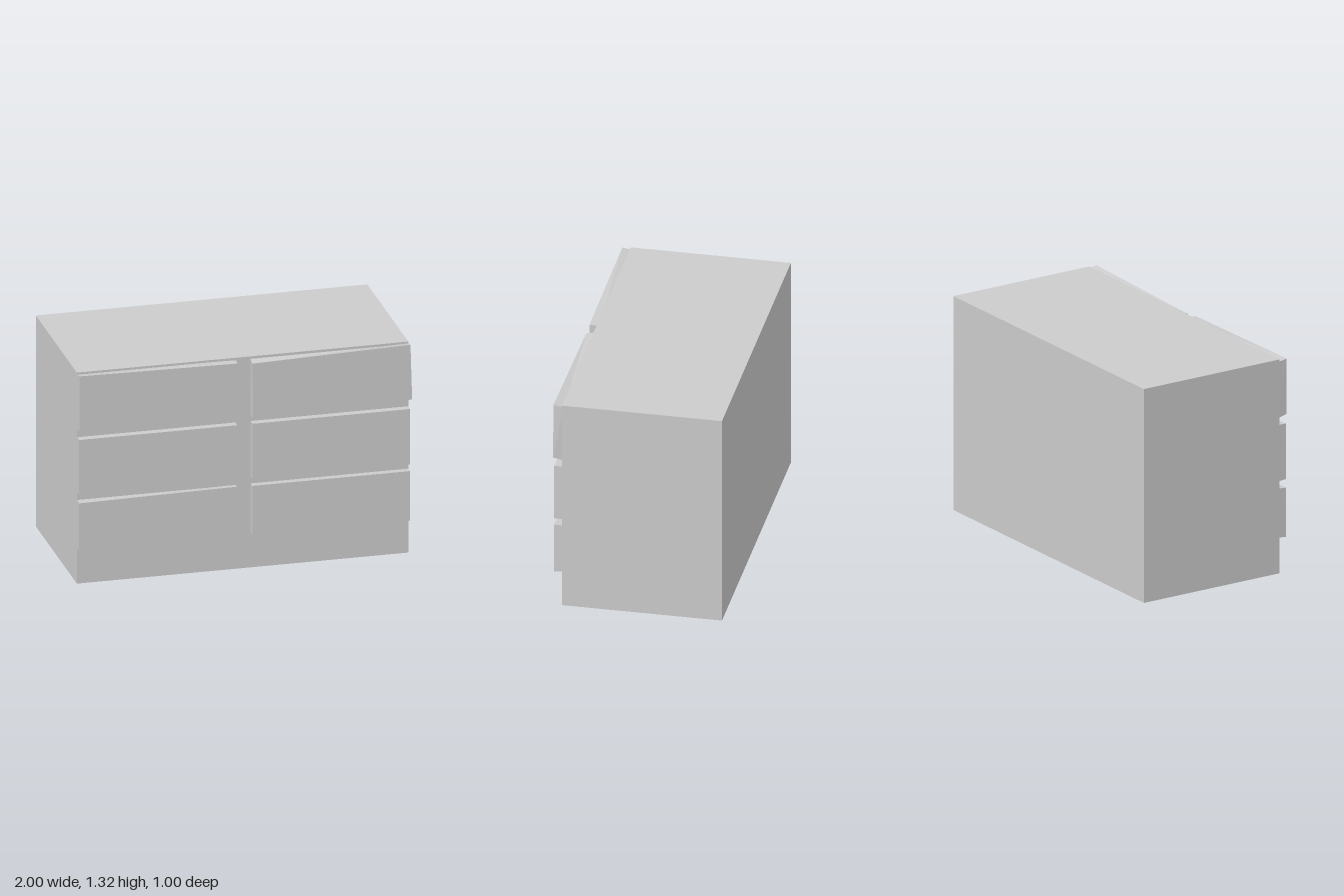
import * as THREE from 'three';

const material = new THREE.MeshStandardMaterial({ color: 0xcccccc, flatShading: true });
const BACK_Z = 0.45;

// Drawer slab: upright rectangle at the back, slightly skewed front face.
// front corners: bottom-left, bottom-right, top-right, top-left
function drawer(name, [x0, x1, y0, y1], front, frontZ) {
  const geometry = new THREE.BoxGeometry(1, 1, 1);
  const back = [[x0, y0], [x1, y0], [x1, y1], [x0, y1]];
  const p = geometry.attributes.position;
  for (let i = 0; i < p.count; i++) {
    const right = p.getX(i) > 0, top = p.getY(i) > 0, isFront = p.getZ(i) > 0;
    const corner = top ? (right ? 2 : 3) : (right ? 1 : 0);
    const [x, y] = (isFront ? front : back)[corner];
    p.setXYZ(i, x, y, isFront ? frontZ : BACK_Z - 0.01);
  }
  geometry.computeVertexNormals();
  const mesh = new THREE.Mesh(geometry, material);
  mesh.name = name;
  return mesh;
}

export function createModel() {
  const group = new THREE.Group();
  group.name = 'dresser';

  // Cabinet body
  const cabinet = new THREE.Mesh(new THREE.BoxGeometry(1.99, 1.315, 0.95), material);
  cabinet.name = 'cabinet';
  cabinet.position.set(-0.005, 0.6575, -0.025);
  group.add(cabinet);

  // Three rows of drawers; the top pair and one bottom drawer sit slightly askew
  const rightX = [-0.998, -0.045], leftX = [0.042, 0.988];
  group.add(
    drawer('topRightDrawer', [...rightX, 0.955, 1.3],
      [[-0.996, 0.968], [-0.052, 0.953], [-0.048, 1.298], [-0.998, 1.31]], 0.5),
    drawer('topLeftDrawer', [...leftX, 0.955, 1.302],
      [[0.046, 0.945], [1.0, 0.972], [0.99, 1.314], [0.04, 1.288]], 0.5),
    drawer('middleRightDrawer', [...rightX, 0.566, 0.912],
      [[-0.998, 0.57], [-0.05, 0.57], [-0.05, 0.912], [-0.998, 0.912]], 0.496),
    drawer('middleLeftDrawer', [...leftX, 0.566, 0.912],
      [[0.042, 0.57], [0.988, 0.566], [0.988, 0.912], [0.042, 0.912]], 0.496),
    drawer('bottomRightDrawer', [...rightX, 0.22, 0.522],
      [[-0.998, 0.215], [-0.05, 0.226], [-0.05, 0.529], [-0.998, 0.517]], 0.496),
    drawer('bottomLeftDrawer', [...leftX, 0.22, 0.523],
      [[0.042, 0.221], [0.988, 0.216], [0.988, 0.525], [0.042, 0.525]], 0.496),
  );
  return group;
}
